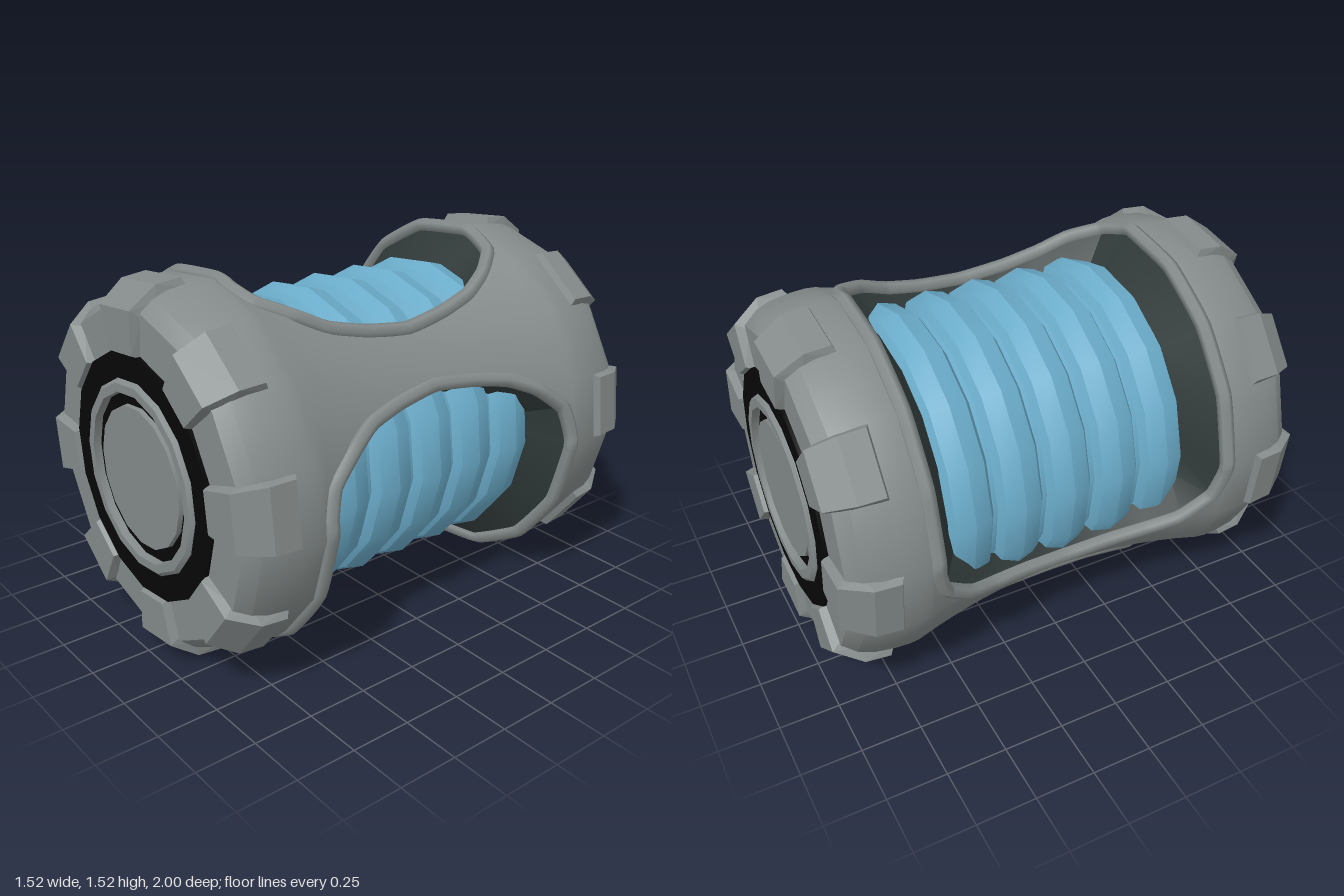
import * as THREE from 'three';
import { toCreasedNormals } from 'three/addons/utils/BufferGeometryUtils.js';
import { ConvexGeometry } from 'three/addons/geometries/ConvexGeometry.js';

const RAD = Math.PI / 180;
const PHASE = 40; // angle of the first strut, and of a corner of the 16-sided section
const STEP = 22.5;

// Quarter of a window edge: [degrees from strut centre, z]
const EDGE = [[11, 0], [13.5, 0.2], [17, 0.36], [22.5, 0.48], [31, 0.6],
  [40, 0.632], [45, 0.634], [67.5, 0.635], [90, 0.635]];

const waist = (z) => 0.65 + 0.09 * (z / 0.66) ** 2;

// Keeps the sections 16-sided
function facet(deg) {
  const m = ((deg % STEP) + STEP) % STEP;
  return Math.cos(STEP / 2 * RAD) / Math.cos((m - STEP / 2) * RAD);
}

function polar(deg, r, z) {
  const a = (PHASE + deg) * RAD, q = r * facet(deg);
  return new THREE.Vector3(q * Math.cos(a), q * Math.sin(a), z);
}

function edgeZ(deg) {
  if (deg <= EDGE[0][0]) return 0;
  for (let i = 1; i < EDGE.length; i++) {
    const [a0, z0] = EDGE[i - 1], [a1, z1] = EDGE[i];
    if (deg <= a1) return z0 + (z1 - z0) * (deg - a0) / (a1 - a0);
  }
  return 0.635;
}

// Whole window edge as a closed loop, from the quarter
function windowLoop() {
  const half = [...EDGE, ...EDGE.slice(0, -1).reverse().map(([d, z]) => [180 - d, z])];
  return [...half, ...half.slice(1, -1).reverse().map(([d, z]) => [d, -z])];
}

// Waisted shell with two windows: one quarter repeated by mirroring
function shellGeometry() {
  const cols = [0, 5, 11, 13.5, 17, 22.5, 26, 31, 40, 45, 56.25, 67.5, 78.75, 90];
  const tail = [[0.7, 0.744], [0.76, 0.741], [0.85, 0.728], [0.91, 0.705]];
  const pos = [], nor = [], idx = [];
  for (const base of [0, 180]) for (const a of [1, -1]) for (const s of [1, -1]) {
    const start = pos.length / 3;
    let rows = 0;
    for (const c of cols) {
      const z0 = edgeZ(c), prof = [];
      for (let i = 0; i <= 7; i++) {
        const z = z0 + (0.66 - z0) * i / 7;
        prof.push([z, waist(z)]);
      }
      prof.push(...tail);
      rows = prof.length;
      prof.forEach(([z, r], i) => {
        const deg = base + a * c, t = (PHASE + deg) * RAD;
        const p = polar(deg, r, z * s);
        const n0 = prof[Math.max(i - 1, 0)], n1 = prof[Math.min(i + 1, rows - 1)];
        const slope = z < 0.6 ? 0.18 * z / 0.4356 : (n1[1] - n0[1]) / (n1[0] - n0[0]);
        const n = new THREE.Vector3(Math.cos(t), Math.sin(t), -s * slope).normalize();
        pos.push(p.x, p.y, p.z);
        nor.push(n.x, n.y, n.z);
      });
    }
    for (let c = 0; c < cols.length - 1; c++) for (let i = 0; i < rows - 1; i++) {
      const p = start + c * rows + i, q = p + rows;
      if (a * s < 0) idx.push(p, p + 1, q, q, p + 1, q + 1);
      else idx.push(p, q, p + 1, q, q + 1, p + 1);
    }
  }
  const g = new THREE.BufferGeometry();
  g.setAttribute('position', new THREE.Float32BufferAttribute(pos, 3));
  g.setAttribute('normal', new THREE.Float32BufferAttribute(nor, 3));
  g.setIndex(idx);
  return g;
}

// Turned part about the z axis; points are [radius, z], going towards the end
function turned(points, side = 1) {
  const pts = points.map(([r, z]) => new THREE.Vector2(r, z * side));
  if (side < 0) pts.reverse();
  const g = new THREE.LatheGeometry(pts, 16, (PHASE + 90) * RAD);
  g.rotateX(Math.PI / 2);
  return toCreasedNormals(g, 0.4);
}

// Closed raised lip around a window
function lipGeometry() {
  const curve = new THREE.CatmullRomCurve3(
    windowLoop().map(([d, z]) => polar(d, waist(z), z)), true, 'catmullrom', 0.2);
  return new THREE.TubeGeometry(curve, 160, 0.031, 6, true);
}

// Sloping reveal from the window edge down to the core
function revealGeometry() {
  const loop = windowLoop(), pos = [], idx = [];
  loop.forEach(([d, z], i) => {
    const inset = d < 90 ? d + 2 : d > 90 ? d - 2 : d;
    const o = polar(d, waist(z), z), p = polar(inset, 0.57, z * 0.82);
    pos.push(o.x, o.y, o.z, p.x, p.y, p.z);
    const a = 2 * i, b = 2 * ((i + 1) % loop.length);
    idx.push(a, b, a + 1, b, b + 1, a + 1);
  });
  const g = new THREE.BufferGeometry();
  g.setAttribute('position', new THREE.Float32BufferAttribute(pos, 3));
  g.setIndex(idx);
  return toCreasedNormals(g, 0.4);
}

// Bevelled wedge block wrapping from the side onto the end face
function blockGeometry(deg, side) {
  const base = [[0.725, 0.765], [0.69, 0.9], [0.64, 0.955], [0.48, 0.95]];
  const top = [[0.762, 0.785], [0.752, 0.89], [0.672, 1], [0.5, 1]];
  const pts = [];
  const add = (list, half) => {
    for (const [r, z] of list) for (const h of [-half, half]) {
      const a = (PHASE + deg + h) * RAD;
      pts.push(new THREE.Vector3(r * Math.cos(a), r * Math.sin(a), z * side));
    }
  };
  add(base, 11.25);
  add(top, 9.6);
  return new ConvexGeometry(pts);
}

export function createModel() {
  const mat = (name, color) => {
    const m = new THREE.MeshStandardMaterial({ color });
    m.name = name;
    return m;
  };
  const grey = mat('grey metal', 0x848b8a);
  const dark = mat('dark interior', 0x303a39);
  dark.side = THREE.DoubleSide;
  const black = mat('black', 0x070707);
  const blue = mat('blue', 0x6bacca);

  const model = new THREE.Group();
  model.name = 'canister';
  const body = new THREE.Group();
  body.name = 'canisterBody';
  body.position.y = 0.765;
  model.add(body);
  const add = (name, geometry, material) => {
    const m = new THREE.Mesh(geometry, material);
    m.name = name;
    body.add(m);
    return m;
  };

  add('outerShell', shellGeometry(), grey);

  // Window lips and reveals
  const lip = lipGeometry(), reveal = revealGeometry();
  for (let k = 0; k < 2; k++) {
    add('windowLip', lip, grey).rotation.z = k * Math.PI;
    add('windowReveal', reveal, dark).rotation.z = k * Math.PI;
  }

  // Ribbed core
  const core = [[0, -0.525]];
  for (let i = -2; i <= 2; i++) {
    const z = i * 0.213;
    core.push([0.565, z - 0.097], [0.6, z - 0.075], [0.622, z], [0.6, z + 0.075], [0.565, z + 0.097]);
  }
  core.push([0, 0.525]);
  add('ribbedCore', turned(core), blue);

  for (const s of [1, -1]) {
    // End rim, black plate, ring, recess and centre disc
    add('endRim', turned([[0.705, 0.91], [0.66, 0.965], [0.49, 0.968]], s), grey);
    add('endPlate', turned([[0.495, 0.95], [0.495, 0.982], [0.38, 0.982]], s), black);
    add('endRing', turned([[0.392, 0.975], [0.39, 0.985], [0.375, 0.998], [0.34, 0.998], [0.338, 0.96]], s), grey);
    add('endRecess', turned([[0.345, 0.965], [0, 0.965]], s), black);
    add('centreDisc', turned([[0.287, 0.96], [0.285, 0.985], [0, 0.985]], s), grey);
    // Grip blocks
    for (let k = 0; k < 8; k++) add('gripBlock', blockGeometry(STEP / 2 + k * 45, s), grey);
  }
  return model;
}
